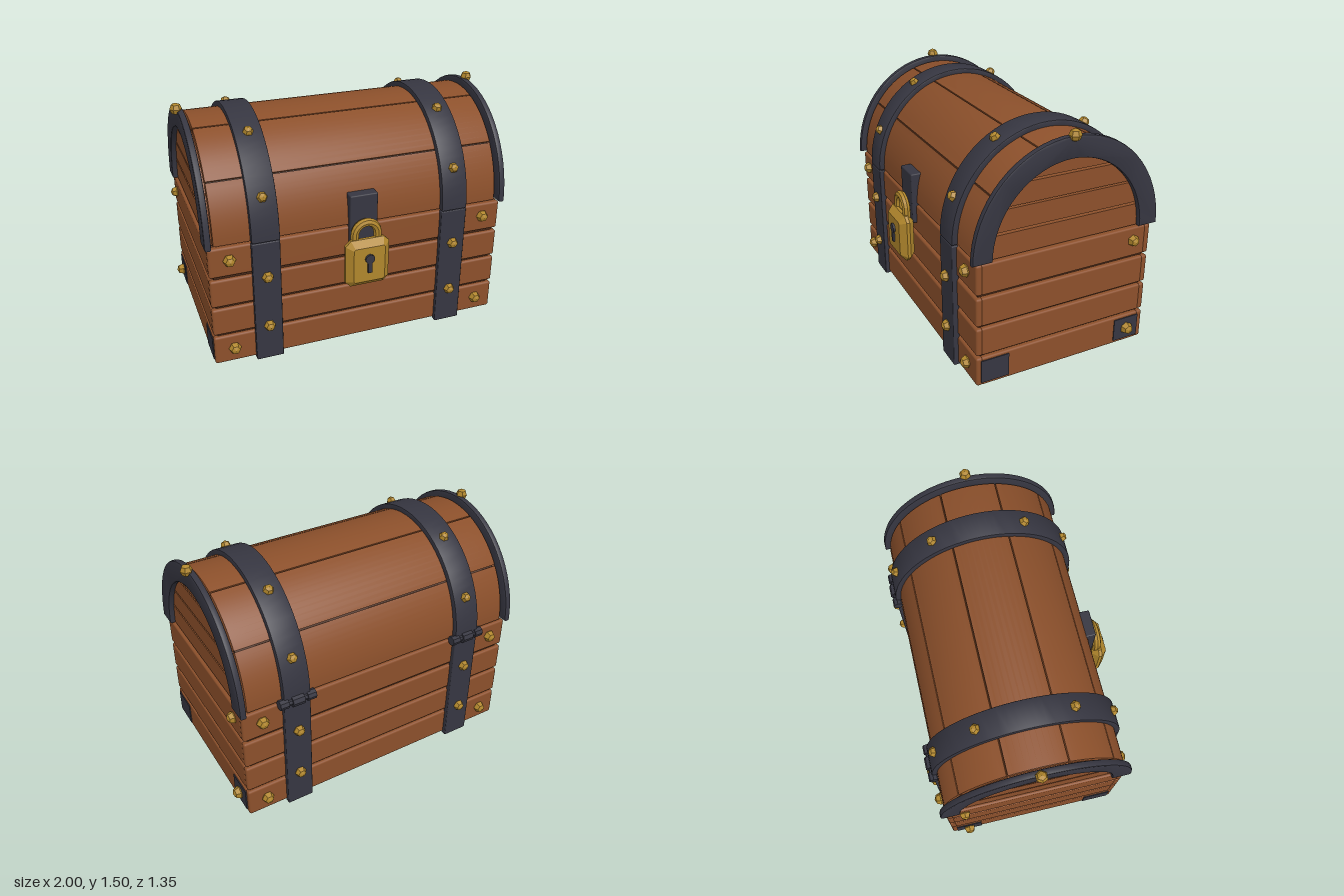
import * as THREE from 'three';
import { toCreasedNormals } from 'three/addons/utils/BufferGeometryUtils.js';
import { RoundedBoxGeometry } from 'three/addons/geometries/RoundedBoxGeometry.js';

const CZ = -0.037; // middle of the chest in z
const LID_Y = 0.812; // springing line of the lid

function material(name, color, flatShading = false) {
  const m = new THREE.MeshStandardMaterial({ color, flatShading });
  m.name = name;
  return m;
}

export function createModel() {
  const wood = material('wood', 0x8c502b);
  const darkWood = material('darkWood', 0x4a2a18);
  const iron = material('iron', 0x363641);
  const brass = material('brass', 0xb0862c, true);
  const model = new THREE.Group();
  model.name = 'treasureChest';

  function add(name, geometry, mat, parent = model) {
    const mesh = new THREE.Mesh(geometry, mat);
    mesh.name = name;
    parent.add(mesh);
    return mesh;
  }
  function group(name) {
    const g = new THREE.Group();
    g.name = name;
    model.add(g);
    return g;
  }
  // Box given by its lower and upper corners, with softened edges
  function block(name, [x0, y0, z0], [x1, y1, z1], r, mat, parent) {
    const g = new RoundedBoxGeometry(x1 - x0, y1 - y0, z1 - z0, 2, r);
    g.translate((x0 + x1) / 2, (y0 + y1) / 2, (z0 + z1) / 2);
    return add(name, g, mat, parent);
  }
  // Profile in the z-y plane, extruded from x0 to x1
  function alongX(name, shape, x0, x1, bevel, mat, parent) {
    const g = new THREE.ExtrudeGeometry(shape, {
      depth: x1 - x0 - 2 * bevel, bevelEnabled: bevel > 0,
      bevelSize: bevel, bevelOffset: -bevel, bevelThickness: bevel, bevelSegments: 2, curveSegments: 1,
    });
    g.rotateY(Math.PI / 2).translate(x0 + bevel, LID_Y, CZ);
    return add(name, toCreasedNormals(g, 0.5), mat, parent);
  }
  // Piece of an elliptical band between two angles
  function band(rx, ry, ix, iy, a, b, n) {
    const pts = [];
    for (let i = 0; i <= n; i++) {
      const t = a + (b - a) * i / n;
      pts.push(new THREE.Vector2(rx * Math.cos(t), ry * Math.sin(t)));
    }
    for (let i = n; i >= 0; i--) {
      const t = a + (b - a) * i / n;
      pts.push(new THREE.Vector2(ix * Math.cos(t), iy * Math.sin(t)));
    }
    return new THREE.Shape(pts);
  }

  // Chest body: dark core behind four rows of planks on each side
  const body = group('body');
  block('core', [-0.915, 0.006, CZ - 0.55], [0.915, 0.8, CZ + 0.55], 0.004, darkWood, body);
  const rows = [[0.012, 0.2], [0.217, 0.395], [0.412, 0.592], [0.612, 0.802]];
  for (const [y0, y1] of rows) {
    block('frontPlank', [-0.942, y0, CZ + 0.53], [0.942, y1, CZ + 0.572], 0.014, wood, body);
    block('backPlank', [-0.942, y0, CZ - 0.572], [0.942, y1, CZ - 0.53], 0.014, wood, body);
    for (const s of [-1, 1]) {
      const x0 = s > 0 ? 0.9 : -0.942;
      block('sidePlank', [x0, y0, CZ - 0.54], [x0 + 0.042, y1, CZ + 0.54], 0.012, wood, body);
    }
  }

  // Lid: five curved planks over a dark liner
  const lid = group('lid');
  alongX('lidLiner', band(0.545, 0.59, 0.515, 0.56, 0, Math.PI, 30), -0.895, 0.895, 0, darkWood, lid);
  for (let i = 0; i < 5; i++) {
    const a = i * Math.PI / 5, b = a + Math.PI / 5, gap = 0.007;
    alongX('lidPlank', band(0.566, 0.608, 0.53, 0.57, a + gap, b - gap, 10), -0.905, 0.905, 0.005, wood, lid);
  }
  // Lid ends: horizontal boards with open gaps, cut to the arch
  const boards = [[0, 0.136], [0.151, 0.281], [0.293, 0.417], [0.43, 0.575]];
  const asinY = (y) => Math.asin(Math.min(1, y / 0.575));
  for (const [y0, y1] of boards) {
    const a = asinY(y0), b = asinY(y1), pts = [];
    for (let i = 0; i <= 8; i++) {
      const t = a + (b - a) * i / 8;
      pts.push(new THREE.Vector2(0.535 * Math.cos(t), 0.575 * Math.sin(t)));
    }
    const left = pts.map((p) => new THREE.Vector2(-p.x, p.y)).reverse();
    if (y1 === 0.575) left.shift();
    const shape = new THREE.Shape([...pts, ...left]);
    for (const x of [-0.925, 0.897]) alongX('lidEndBoard', shape, x, x + 0.028, 0, wood, lid);
  }
  // Iron arches round both lid ends
  for (const x of [-0.96, 0.92]) {
    alongX('endArch', band(0.601, 0.642, 0.478, 0.51, 0, Math.PI, 32), x, x + 0.04, 0.01, iron, lid);
  }

  // Iron straps, hinges and corner plates
  const ironwork = group('ironwork');
  for (const s of [-1, 1]) {
    const x = s * 0.605;
    alongX('lidStrap', band(0.6, 0.64, 0.555, 0.597, 0, Math.PI, 36), x - 0.085, x + 0.085, 0.006, iron, ironwork);
    for (const d of [-1, 1]) {
      const z = CZ + d * 0.58;
      block('bodyStrap', [x - 0.085, 0, z - 0.02], [x + 0.085, 0.806, z + 0.02], 0.006, iron, ironwork);
    }
    for (const [dx, w, r] of [[-0.088, 0.054, 0.031], [0, 0.075, 0.036], [0.088, 0.054, 0.031], [0, 0.23, 0.022]]) {
      const knuckle = new THREE.CylinderGeometry(r, r, w, 8);
      knuckle.rotateZ(Math.PI / 2).translate(x + dx, 0.808, -0.63);
      add('hingeKnuckle', toCreasedNormals(knuckle, 0.5), iron, ironwork);
    }
    for (const [z0, z1] of [[0.33, 0.507], [-0.575, -0.403]]) {
      const plate = new THREE.BoxGeometry(0.008, 0.148, z1 - z0);
      plate.translate(s * 0.944, 0.108, (z0 + z1) / 2);
      add('cornerPlate', plate, iron, ironwork);
    }
  }

  // Faceted brass studs, pointing outward
  const studs = group('studs');
  const up = new THREE.Vector3(0, 1, 0);
  function stud(x, y, z, nx, ny, nz, r = 0.036) {
    const m = add('stud', new THREE.SphereGeometry(r, 6, 4), brass, studs);
    m.position.set(x, y, z);
    m.quaternion.setFromUnitVectors(up, new THREE.Vector3(nx, ny, nz).normalize());
  }
  for (const s of [-1, 1]) {
    for (const d of [-1, 1]) {
      for (const y of [0.24, 0.58]) stud(s * 0.605, y, CZ + d * 0.605, 0, 0, d);
      for (const y of [0.11, 0.72]) stud(s * 0.82, y, CZ + d * 0.58, 0, 0, d, 0.039);
      for (const t of [0.42, 1.07]) {
        const c = Math.cos(t) * d, n = Math.sin(t);
        stud(s * 0.605, LID_Y + 0.642 * n, CZ + 0.602 * c, 0, n, c, 0.033);
      }
    }
    stud(s * 0.948, 0.72, -0.49, s, 0, 0, 0.037);
    stud(s * 0.955, 0.11, -0.49, s, 0, 0, 0.04);
    stud(s * 0.963, 1.46, CZ, 0, 1, 0, 0.037);
  }

  // Hasp and padlock
  const lock = group('padlock');
  block('hasp', [-0.088, 0.68, 0.49], [0.088, 1.012, 0.562], 0.008, iron, lock);
  const w = 0.1, y0 = 0.48, y1 = 0.71, c = 0.01;
  const face = new THREE.Shape([
    [-w + c, y0], [w - c, y0], [w, y0 + c], [w, y1 - c],
    [w - c, y1], [-w + c, y1], [-w, y1 - c], [-w, y0 + c],
  ].map(([x, y]) => new THREE.Vector2(x, y)));
  const lockBody = new THREE.ExtrudeGeometry(face, {
    depth: 0.02, bevelEnabled: true, bevelSize: 0.04, bevelThickness: 0.038, bevelSegments: 1,
  });
  lockBody.translate(0, 0, 0.603);
  add('lockBody', lockBody, brass, lock);

  // Shackle: two legs joined by a half ring
  const shackle = new THREE.CurvePath();
  const v = (x, y) => new THREE.Vector3(x, y, 0.597);
  const arc = [];
  for (let i = 0; i <= 10; i++) {
    const t = Math.PI * i / 10;
    arc.push(v(0.073 * Math.cos(t), 0.775 + 0.073 * Math.sin(t)));
  }
  shackle.add(new THREE.LineCurve3(v(0.073, 0.7), arc[0]));
  shackle.add(new THREE.CatmullRomCurve3(arc));
  shackle.add(new THREE.LineCurve3(arc[10], v(-0.073, 0.7)));
  add('shackle', new THREE.TubeGeometry(shackle, 20, 0.026, 8), brass, lock);

  // Keyhole: round top and narrow slot
  const hole = new THREE.CylinderGeometry(0.03, 0.03, 0.015, 12);
  hole.rotateX(Math.PI / 2).translate(0, 0.635, 0.666);
  add('keyholeTop', hole, iron, lock);
  const slot = new THREE.BoxGeometry(0.026, 0.085, 0.015);
  slot.translate(0, 0.585, 0.666);
  add('keyholeSlot', slot, iron, lock);

  return model;
}
